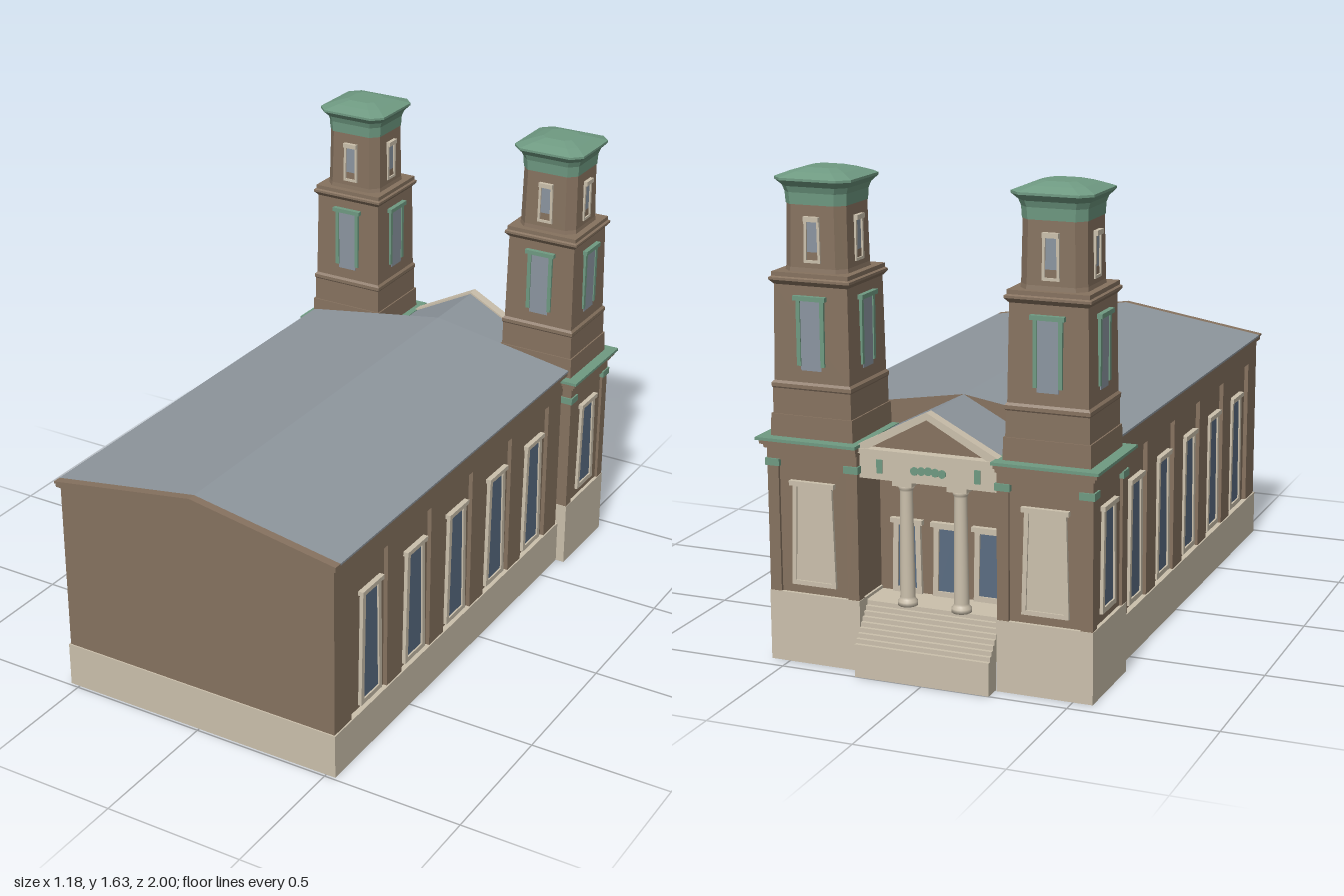
import * as THREE from 'three';

const mat = (name, color, side = THREE.FrontSide) => {
  const m = new THREE.MeshStandardMaterial({ color, side });
  m.name = name;
  return m;
};
const brown = mat('brownstone', 0x86725f);
const cream = mat('limestone', 0xcbc0ac);
const slate = mat('slate roof', 0x8e969d);
const green = mat('copper green', 0x6f9a82);
const glass = mat('dark glass', 0x5a6c82);
const louver = mat('grey louver', 0x8b95a0);

function add(parent, name, geo, material) {
  const m = new THREE.Mesh(geo, material);
  m.name = name;
  parent.add(m);
  return m;
}

// Box given by its limits
function box(parent, name, material, x0, x1, y0, y1, z0, z1) {
  const m = add(parent, name, new THREE.BoxGeometry(x1 - x0, y1 - y0, z1 - z0), material);
  m.position.set((x0 + x1) / 2, (y0 + y1) / 2, (z0 + z1) / 2);
  return m;
}

function polygon(pts) {
  return new THREE.Shape(pts.map(([x, y]) => new THREE.Vector2(x, y)));
}

const extrude = (shape, depth) =>
  new THREE.ExtrudeGeometry(shape, { depth, bevelEnabled: false, curveSegments: 12 });

// Hollow plinth, open below, with a ceiling at its top
function plinth(parent, name, x0, x1, z0, z1, h) {
  const t = 0.02;
  const s = polygon([[x0, -z0], [x0, -z1], [x1, -z1], [x1, -z0]]);
  s.holes.push(polygon([[x0 + t, -z0 - t], [x1 - t, -z0 - t], [x1 - t, -z1 + t], [x0 + t, -z1 + t]]));
  add(parent, name, extrude(s, h).rotateX(-Math.PI / 2), cream);
  box(parent, name + 'Ceiling', cream, x0 + t, x1 - t, h - 0.01, h - 0.001, z0 + t, z1 - t);
}

// Stack of square sections [y, halfWidth, cornerCut], flat shaded and capped
function loft(sections) {
  const rings = sections.map(([y, w, c]) => {
    const pts = [];
    for (let k = 0; k < 4; k++) {
      const corner = c ? [[w, w - c], [w - c, w]] : [[w, w]];
      for (const [x, z] of corner) {
        const a = k * Math.PI / 2, cs = Math.cos(a), sn = Math.sin(a);
        pts.push([x * cs - z * sn, y, x * sn + z * cs]);
      }
    }
    return pts;
  });
  const pos = [], n = rings[0].length, top = rings[rings.length - 1];
  for (let i = 0; i < rings.length - 1; i++) {
    for (let j = 0; j < n; j++) {
      const k = (j + 1) % n, a = rings[i][j], b = rings[i][k], c = rings[i + 1][k], d = rings[i + 1][j];
      pos.push(...a, ...c, ...b, ...a, ...d, ...c);
    }
  }
  for (let j = 1; j < n - 1; j++) {
    pos.push(...top[0], ...top[j + 1], ...top[j]);
    pos.push(...rings[0][0], ...rings[0][j], ...rings[0][j + 1]);
  }
  const g = new THREE.BufferGeometry();
  g.setAttribute('position', new THREE.Float32BufferAttribute(pos, 3));
  g.computeVertexNormals();
  return g;
}

// Tapered window facing local +z, standing on its origin
function makeWindow(name, w0, w1, h, border, frameMat, paneMat, head = 0.01) {
  const g = new THREE.Group();
  g.name = name;
  const a = w0 / 2, b = w1 / 2, t = border;
  const inner = [[-a + t, t], [a - t, t], [b - t, h - t], [-b + t, h - t]];
  const frame = polygon([[-a, 0], [a, 0], [b, h], [-b, h]]);
  frame.holes.push(polygon(inner));
  add(g, 'frame', extrude(frame, 0.014), frameMat);
  add(g, 'pane', extrude(polygon(inner), 0.008), paneMat);
  box(g, 'head', frameMat, -b - head, b + head, h - 0.012, h + 0.004, 0, 0.02);
  return g;
}

function place(parent, obj, x, y, z, ry) {
  obj.position.set(x, y, z);
  obj.rotation.y = ry;
  parent.add(obj);
}

function makeHall() {
  const g = new THREE.Group();
  g.name = 'hall';
  plinth(g, 'hallPlinth', -0.535, 0.535, -0.64, 0.99, 0.16);
  box(g, 'hallWalls', brown, -0.515, 0.515, 0.16, 0.79, -0.64, 0.98);
  box(g, 'frontWall', brown, -0.53, 0.53, 0.16, 0.79, 0.88, 0.985);
  box(g, 'frieze', brown, -0.53, 0.53, 0.70, 0.775, -0.64, 0.985);
  box(g, 'eaveCornice', brown, -0.542, 0.542, 0.775, 0.793, -0.64, 0.995);
  for (const s of [-1, 1]) {
    for (const z of [0.6, 0.31, 0.018, -0.275, -0.57]) {
      box(g, 'pilaster', brown, s * 0.522 - 0.008, s * 0.522 + 0.008, 0.16, 0.7, z - 0.05, z + 0.05);
    }
    for (const z of [0.745, 0.455, 0.165, -0.13, -0.42]) {
      place(g, makeWindow('hallWindow', 0.135, 0.115, 0.43, 0.018, cream, glass),
        s * 0.514, 0.172, z, s * Math.PI / 2);
    }
  }
  // Low gable roof with a brown coping at the front
  const gable = polygon([[-0.545, 0.79], [0.545, 0.79], [0.545, 0.797], [0, 0.885], [-0.545, 0.797]]);
  add(g, 'roof', extrude(gable, 1.61), [brown, slate]).position.z = -0.64;
  add(g, 'frontGable', extrude(gable, 0.03), brown).position.z = 0.97;
  return g;
}

// Tower on the +x side
function makeTower() {
  const g = new THREE.Group();
  g.name = 'tower';
  plinth(g, 'towerPlinth', 0.24, 0.567, -0.947, -0.63, 0.24);
  box(g, 'towerBase', brown, 0.248, 0.555, 0.24, 0.75, -0.935, -0.64);
  box(g, 'towerFrieze', brown, 0.242, 0.565, 0.69, 0.735, -0.945, -0.632);
  for (const x of [0.242, 0.525]) {
    for (const z of [-0.945, -0.672]) {
      box(g, 'cornerPilaster', brown, x, x + 0.04, 0.24, 0.69, z, z + 0.04);
      box(g, 'pilasterCapital', green, x - 0.005, x + 0.046, 0.668, 0.692, z - 0.006, z + 0.046);
    }
  }
  box(g, 'lowerCornice', brown, 0.24, 0.573, 0.728, 0.742, -0.955, -0.626);
  box(g, 'middleCornice', brown, 0.237, 0.583, 0.742, 0.756, -0.966, -0.617);
  box(g, 'copperLedge', green, 0.234, 0.592, 0.756, 0.766, -0.976, -0.609);
  place(g, makeWindow('sideWindow', 0.13, 0.11, 0.35, 0.018, cream, glass), 0.552, 0.27, -0.79, Math.PI / 2);
  place(g, makeWindow('blindPanel', 0.16, 0.14, 0.35, 0.015, cream, cream), 0.405, 0.27, -0.932, Math.PI);

  const upper = new THREE.Group();
  upper.name = 'upperTower';
  upper.position.set(0.406, 0, -0.79);
  g.add(upper);
  add(upper, 'towerShaft', loft([
    [0.76, 0.147, 0], [0.84, 0.145, 0], [0.84, 0.14, 0], [0.925, 0.139, 0], [0.93, 0.142, 0],
    [0.942, 0.142, 0], [0.95, 0.135, 0], [1.265, 0.13, 0], [1.28, 0.143, 0], [1.288, 0.143, 0],
    [1.292, 0.136, 0], [1.306, 0.136, 0]]), brown);
  add(upper, 'belfry', loft([[1.3, 0.113, 0.03], [1.32, 0.11, 0.03], [1.525, 0.106, 0.03]]), brown);
  add(upper, 'copperCap', loft([
    [1.522, 0.108, 0.03], [1.56, 0.11, 0.03], [1.58, 0.117, 0.032], [1.6, 0.136, 0.036], [1.608, 0.136, 0.036],
    [1.624, 0.095, 0.03], [1.635, 0.055, 0.02]]), green);
  for (let k = 0; k < 4; k++) {
    const side = new THREE.Group();
    side.name = 'towerSide';
    side.rotation.y = k * Math.PI / 2;
    upper.add(side);
    place(side, makeWindow('belfryWindow', 0.058, 0.054, 0.145, 0.009, cream, louver, 0), 0, 1.337, 0.101, 0);
    // Louvred opening with copper jambs and hood
    box(side, 'louver', louver, -0.036, 0.036, 0.99, 1.22, 0.128, 0.137);
    for (const s of [-1, 1]) {
      box(side, 'jamb', green, s * 0.042 - 0.007, s * 0.042 + 0.007, 1.005, 1.222, 0.126, 0.141);
    }
    box(side, 'hood', green, -0.057, 0.057, 1.219, 1.234, 0.125, 0.148);
  }
  return g;
}

function makePortico() {
  const g = new THREE.Group();
  g.name = 'portico';
  // Steps on a hollow base
  for (let i = 0; i < 9; i++) {
    box(g, 'step', cream, -0.235, 0.235, 0.095, 0.112 + i * 0.0148, -1 + i * 0.0125, -0.985 + i * 0.0125);
  }
  box(g, 'porchFloor', cream, -0.242, 0.242, 0.095, 0.23, -0.888, -0.635);
  box(g, 'stepRiser', cream, -0.235, 0.235, 0, 0.1, -1, -0.99);
  for (const s of [-1, 1]) {
    box(g, 'stepCheek', cream, s * 0.23 - 0.005, s * 0.23 + 0.005, 0, 0.1, -1, -0.94);
  }
  // Entrance wall and doors
  box(g, 'entranceWall', brown, -0.245, 0.245, 0.23, 0.75, -0.77, -0.635);
  for (const x of [-0.145, 0, 0.145]) {
    place(g, makeWindow('door', 0.105, 0.095, 0.25, 0.018, cream, glass), x, 0.23, -0.769, Math.PI);
  }
  // Columns
  const profile = [[0, 0], [0.033, 0], [0.033, 0.014], [0.026, 0.022], [0.025, 0.03], [0.021, 0.385],
    [0.024, 0.392], [0.031, 0.408], [0, 0.408]].map(([x, y]) => new THREE.Vector2(x, y));
  for (const x of [-0.095, 0.095]) {
    add(g, 'column', new THREE.LatheGeometry(profile, 20), cream).position.set(x, 0.23, -0.887);
    box(g, 'columnCapital', cream, x - 0.034, x + 0.034, 0.636, 0.655, -0.921, -0.853);
  }
  // Entablature with copper ornaments
  box(g, 'entablature', cream, -0.243, 0.243, 0.653, 0.742, -0.925, -0.76);
  box(g, 'entablatureCornice', cream, -0.243, 0.243, 0.738, 0.755, -0.94, -0.76);
  for (const x of [-0.17, 0.17]) {
    box(g, 'frieze tablet', green, x - 0.01, x + 0.01, 0.675, 0.72, -0.93, -0.924);
  }
  for (let i = -2; i <= 2; i++) {
    const disc = add(g, 'garland', new THREE.CylinderGeometry(0.014, 0.014, 0.007, 12), green);
    disc.rotation.x = Math.PI / 2;
    disc.position.set(i * 0.024, 0.698 - Math.abs(i) * 0.002, -0.926);
  }
  // Pediment, raking cornice and roof
  const tri = polygon([[-0.25, 0.755], [0.25, 0.755], [0, 0.885]]);
  add(g, 'pedimentRoof', extrude(tri, 0.27), [brown, slate]).position.z = -0.905;
  const rake = polygon([[-0.25, 0.753], [-0.21, 0.753], [0, 0.868], [0.21, 0.753], [0.25, 0.753],
    [0.25, 0.762], [0, 0.892], [-0.25, 0.762]]);
  add(g, 'rakingCornice', extrude(rake, 0.037), cream).position.z = -0.935;
  return g;
}

export function createModel() {
  const model = new THREE.Group();
  model.name = 'church';
  model.add(makeHall(), makePortico());
  const left = makeTower();
  left.name = 'leftTower';
  // The right tower mirrors the left one
  const right = makeTower();
  right.name = 'rightTower';
  right.scale.x = -1;
  model.add(left, right);
  return model;
}
